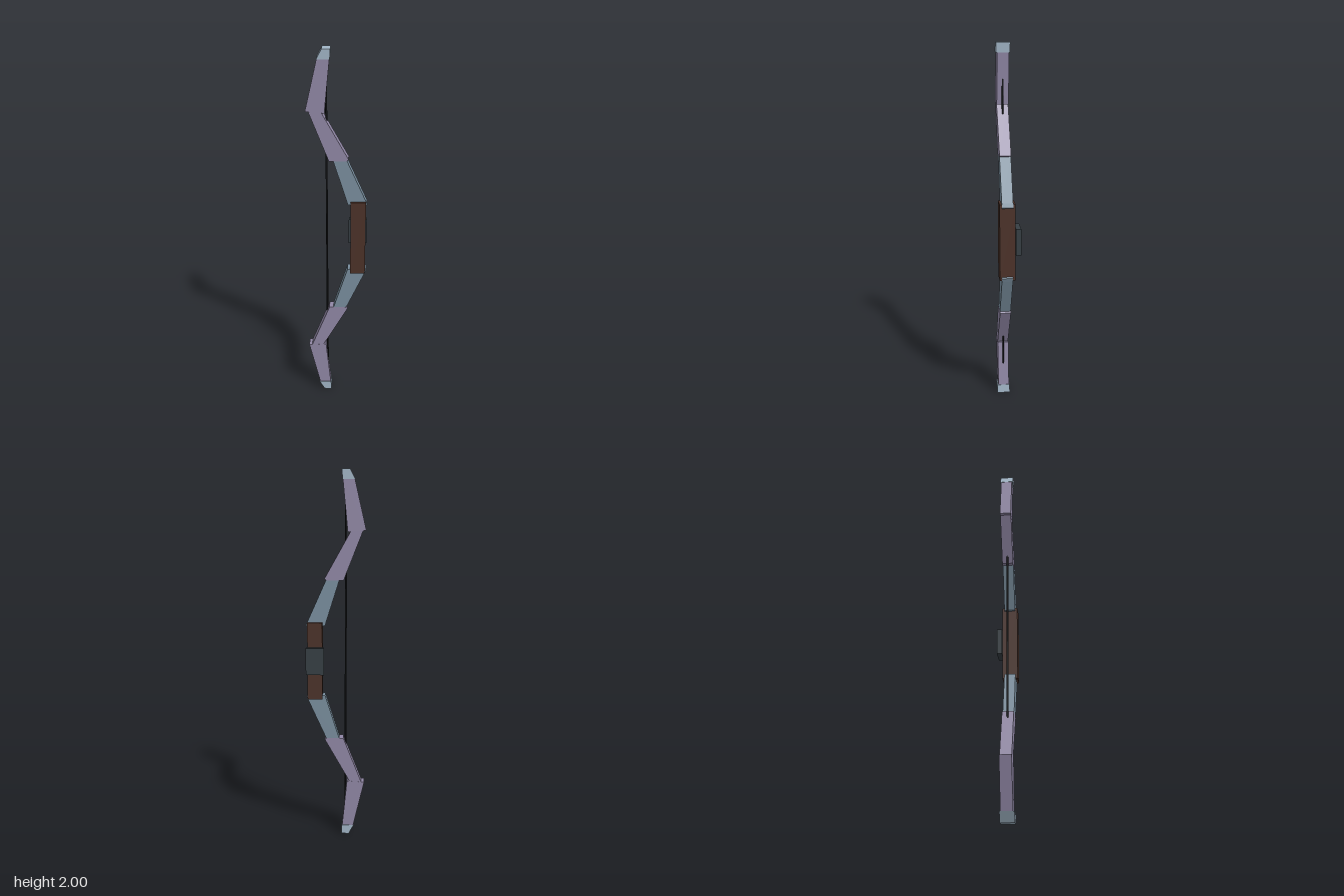
import * as THREE from 'three';

const mat = (name, color) => {
  const m = new THREE.MeshStandardMaterial({ color });
  m.name = name;
  return m;
};

export function createModel() {
  const purple = mat('limb purple', 0x9188a6);
  const blue = mat('limb slate blue', 0x7a8f9f);
  const pale = mat('tip pale blue', 0xa1b5c6);
  const brown = mat('grip brown', 0x4c3229);
  const dark = mat('pad charcoal', 0x363f44);
  const black = mat('string black', 0x17191b);

  const bow = new THREE.Group();
  bow.name = 'bow';
  const add = (name, geometry, material, x = 0, y = 0, z = 0) => {
    const mesh = new THREE.Mesh(geometry, material);
    mesh.name = name;
    mesh.position.set(x, y, z);
    bow.add(mesh);
  };

  // flat slab from a side outline; the lower limb mirrors it about y = 1
  const slab = (points, z0, z1, lower) => {
    const shape = new THREE.Shape(points.map(([x, y]) => new THREE.Vector2(x, lower ? 2 - y : y)));
    return new THREE.ExtrudeGeometry(shape, { depth: z1 - z0, bevelEnabled: false }).translate(0, 0, z0);
  };

  const parts = [
    ['Tip', pale, -0.021, 0.051, [[-0.075, 2], [-0.033, 2], [-0.036, 1.95], [-0.102, 1.95]]],
    ['OuterLimb', purple, -0.016, 0.045, [[-0.1, 1.95], [-0.038, 1.95], [-0.064, 1.685], [-0.16, 1.692]]],
    ['MiddleLimb', purple, -0.0155, 0.0445, [[-0.143, 1.69], [-0.08, 1.69], [0.058, 1.443], [0.048, 1.435], [-0.043, 1.435]]],
    ['InnerLimb', blue, -0.015, 0.044, [[-0.022, 1.44], [0.048, 1.44], [0.148, 1.217], [0.157, 1.195], [0.148, 1.188], [0.056, 1.192]]],
  ];
  for (const lower of [false, true]) {
    for (const [name, material, z0, z1, points] of parts) {
      add((lower ? 'lower' : 'upper') + name, slab(points, z0, z1, lower), material);
    }
  }

  // handle block and the pad on its back
  add('grip', new THREE.BoxGeometry(0.08, 0.42, 0.082), brown, 0.11, 1, 0.014);
  add('backPad', new THREE.BoxGeometry(0.097, 0.145, 0.028), dark, 0.109, 1.005, -0.043);

  // straight string, buried in the limbs at each end
  add('string', new THREE.CylinderGeometry(0.005, 0.005, 1.64, 8), black, -0.055, 1, 0.015);

  return bow;
}
